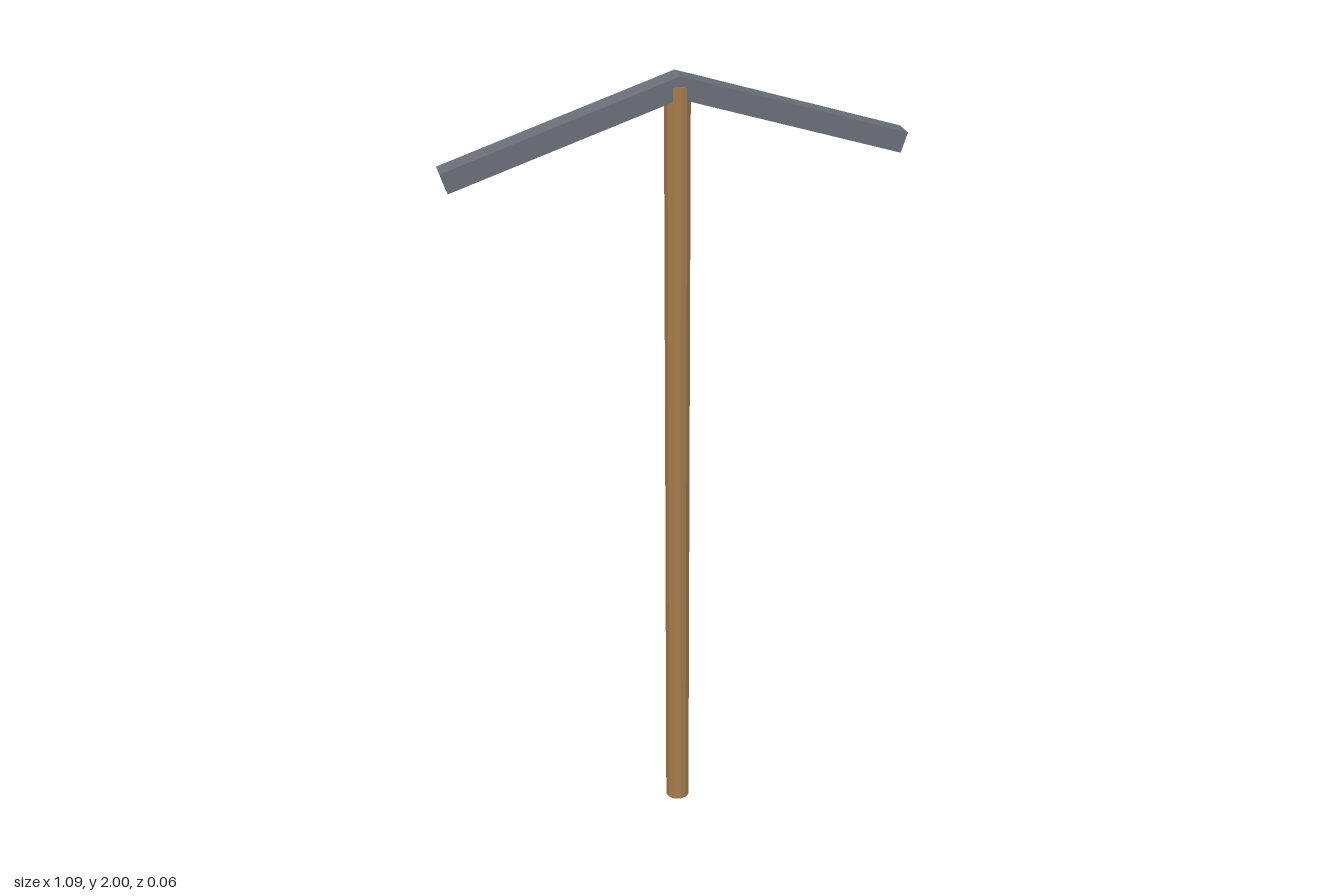
import * as THREE from 'three';

export function createModel() {
  const wood = new THREE.MeshStandardMaterial({ color: 0xa67c4c, flatShading: true });
  wood.name = 'wood';
  const steel = new THREE.MeshStandardMaterial({ color: 0x6a6f7a, flatShading: true });
  steel.name = 'steel';

  const group = new THREE.Group();
  group.name = 'pickaxe';

  // Straight faceted shaft, standing on the ground
  const handleHeight = 1.975;
  const handle = new THREE.Mesh(
    new THREE.CylinderGeometry(0.031, 0.031, handleHeight, 12), wood);
  handle.position.y = handleHeight / 2;
  handle.name = 'handle';
  group.add(handle);

  // Two straight arms sloping down from the peak, mitred at the centre
  const slope = THREE.MathUtils.degToRad(18);
  const thickness = 0.05, length = 0.573, depth = 0.052, peak = 2;
  const tipX = length * Math.cos(slope);
  const tipY = peak - length * Math.sin(slope);
  const lowX = tipX - thickness * Math.sin(slope);
  const lowY = tipY - thickness * Math.cos(slope);
  const profile = new THREE.Shape([
    [0, peak], [-tipX, tipY], [-lowX, lowY],
    [0, peak - thickness / Math.cos(slope)],
    [lowX, lowY], [tipX, tipY],
  ].map(([x, y]) => new THREE.Vector2(x, y)));
  const head = new THREE.Mesh(
    new THREE.ExtrudeGeometry(profile, { depth, bevelEnabled: false }), steel);
  head.position.z = -depth / 2;
  head.name = 'head';
  group.add(head);

  return group;
}
